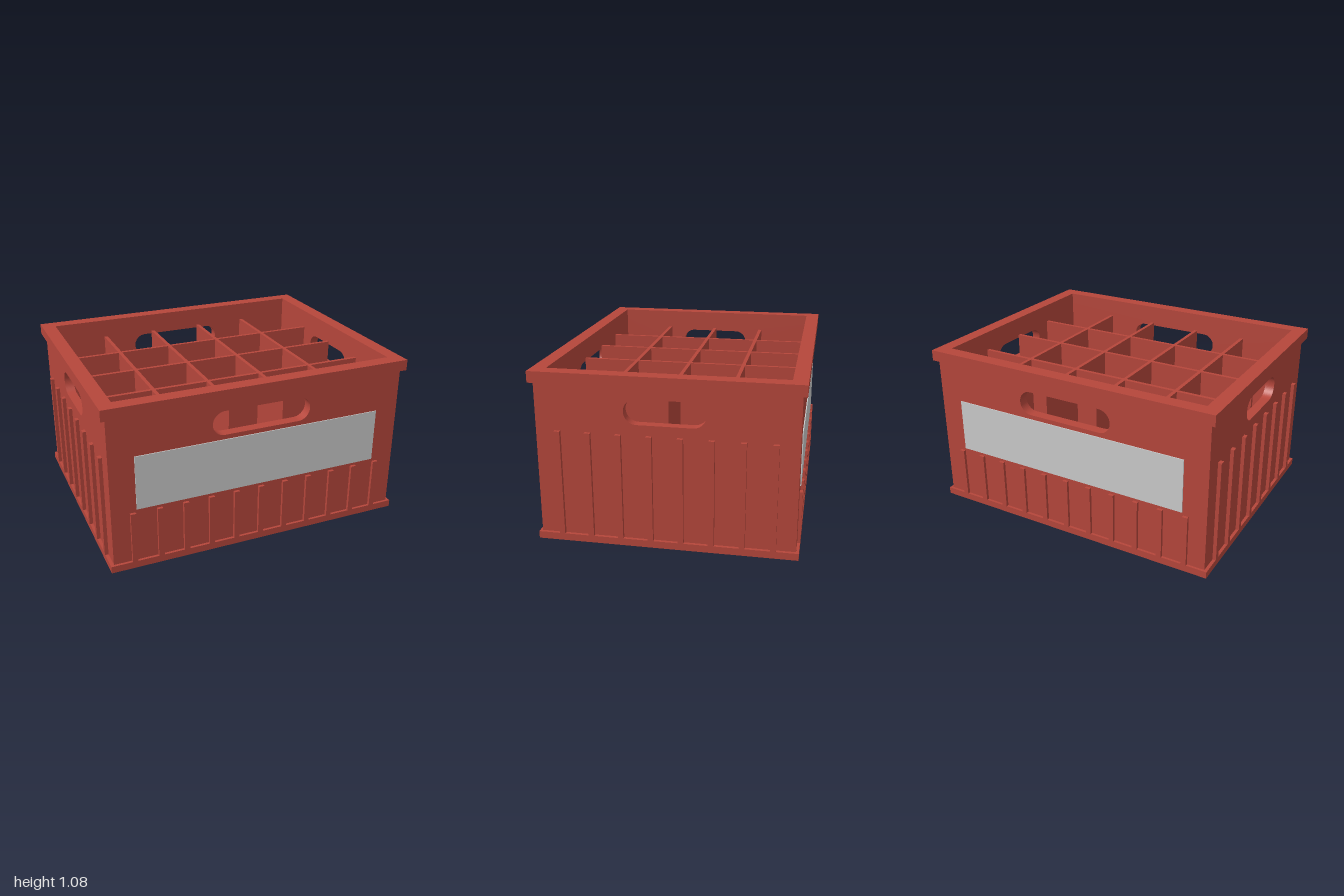
import * as THREE from 'three';

const BASE_TOP = 0.045, WALL_TOP = 1.01, RIM_TOP = 1.08;
const OUT_X = 0.97, OUT_Z = 0.785, IN_X = 0.91, IN_Z = 0.72;

function rect(path, x0, y0, x1, y1) {
  path.moveTo(x0, y0);
  path.lineTo(x1, y0);
  path.lineTo(x1, y1);
  path.lineTo(x0, y1);
  path.closePath();
  return path;
}

// Pill-shaped grip opening
function gripHole(halfWidth) {
  const y = 0.857, r = 0.078, c = halfWidth - r;
  const path = new THREE.Path();
  path.moveTo(-c, y - r);
  path.lineTo(c, y - r);
  path.absarc(c, y, r, -Math.PI / 2, Math.PI / 2, false);
  path.lineTo(-c, y + r);
  path.absarc(-c, y, r, Math.PI / 2, Math.PI * 1.5, false);
  return path;
}

export function createModel() {
  const crate = new THREE.Group();
  crate.name = 'crate';
  const red = new THREE.MeshStandardMaterial({ color: 0xb5463b });
  red.name = 'crate red';
  const grey = new THREE.MeshStandardMaterial({ color: 0xcacaca });
  grey.name = 'label grey';

  const add = (parent, name, geometry, material, x = 0, y = 0, z = 0) => {
    const mesh = new THREE.Mesh(geometry, material);
    mesh.name = name;
    mesh.position.set(x, y, z);
    parent.add(mesh);
    return mesh;
  };
  const box = (parent, name, w, h, d, x, y, z, material = red) =>
    add(parent, name, new THREE.BoxGeometry(w, h, d), material, x, y, z);

  // Floor plate, slightly wider than the walls
  box(crate, 'base', 1.98, BASE_TOP, 1.604, 0, BASE_TOP / 2, 0);

  // One wall facing +z, with its grip hole and a row of vertical ribs
  function wall(name, halfWidth, inner, outer, gripHalf, ribs) {
    const group = new THREE.Group();
    group.name = name;
    const shape = rect(new THREE.Shape(), -halfWidth, BASE_TOP, halfWidth, WALL_TOP);
    shape.holes.push(gripHole(gripHalf));
    const panel = new THREE.ExtrudeGeometry(shape, {
      depth: outer - inner, bevelEnabled: false, curveSegments: 16,
    });
    add(group, 'wallPanel', panel, red, 0, 0, inner);
    const height = ribs.top - BASE_TOP, depth = ribs.face - outer;
    for (let i = 0; i < ribs.count; i++) {
      const x = (i - (ribs.count - 1) / 2) * ribs.pitch;
      box(group, 'rib', 0.035, height, depth, x, BASE_TOP + height / 2, outer + depth / 2);
    }
    crate.add(group);
    return group;
  }

  const longRibs = { count: 11, pitch: 0.1675, top: 0.38, face: 0.804 };
  const shortRibs = { count: 8, pitch: 0.1855, top: 0.715, face: 0.993 };
  ['frontWall', 'backWall'].forEach((name, i) => {
    const w = wall(name, OUT_X, IN_Z, OUT_Z, 0.325, longRibs);
    box(w, 'labelPanel', 1.625, 0.35, 0.006, 0, 0.575, OUT_Z + 0.003, grey);
    w.rotation.y = i * Math.PI;
  });
  ['leftWall', 'rightWall'].forEach((name, i) => {
    const w = wall(name, IN_Z, IN_X, OUT_X, 0.245, shortRibs);
    w.rotation.y = Math.PI / 2 + i * Math.PI;
  });

  // Overhanging rim frame
  const rimShape = rect(new THREE.Shape(), -1, -0.81, 1, 0.81);
  rimShape.holes.push(rect(new THREE.Path(), -IN_X, -IN_Z, IN_X, IN_Z));
  const rim = new THREE.ExtrudeGeometry(rimShape, { depth: RIM_TOP - WALL_TOP, bevelEnabled: false });
  rim.rotateX(-Math.PI / 2);
  add(crate, 'rim', rim, red, 0, WALL_TOP, 0);

  // Bottle dividers: five by four cells
  const dividers = new THREE.Group();
  dividers.name = 'dividers';
  crate.add(dividers);
  const top = 0.955, height = top - BASE_TOP, midY = BASE_TOP + height / 2;
  for (let i = 1; i < 5; i++) {
    box(dividers, 'crossDivider', 0.024, height, IN_Z * 2, -IN_X + (i * IN_X * 2) / 5, midY, 0);
  }
  for (let i = 1; i < 4; i++) {
    box(dividers, 'longDivider', IN_X * 2, height, 0.024, 0, midY, -IN_Z + (i * IN_Z * 2) / 4);
  }

  return crate;
}
